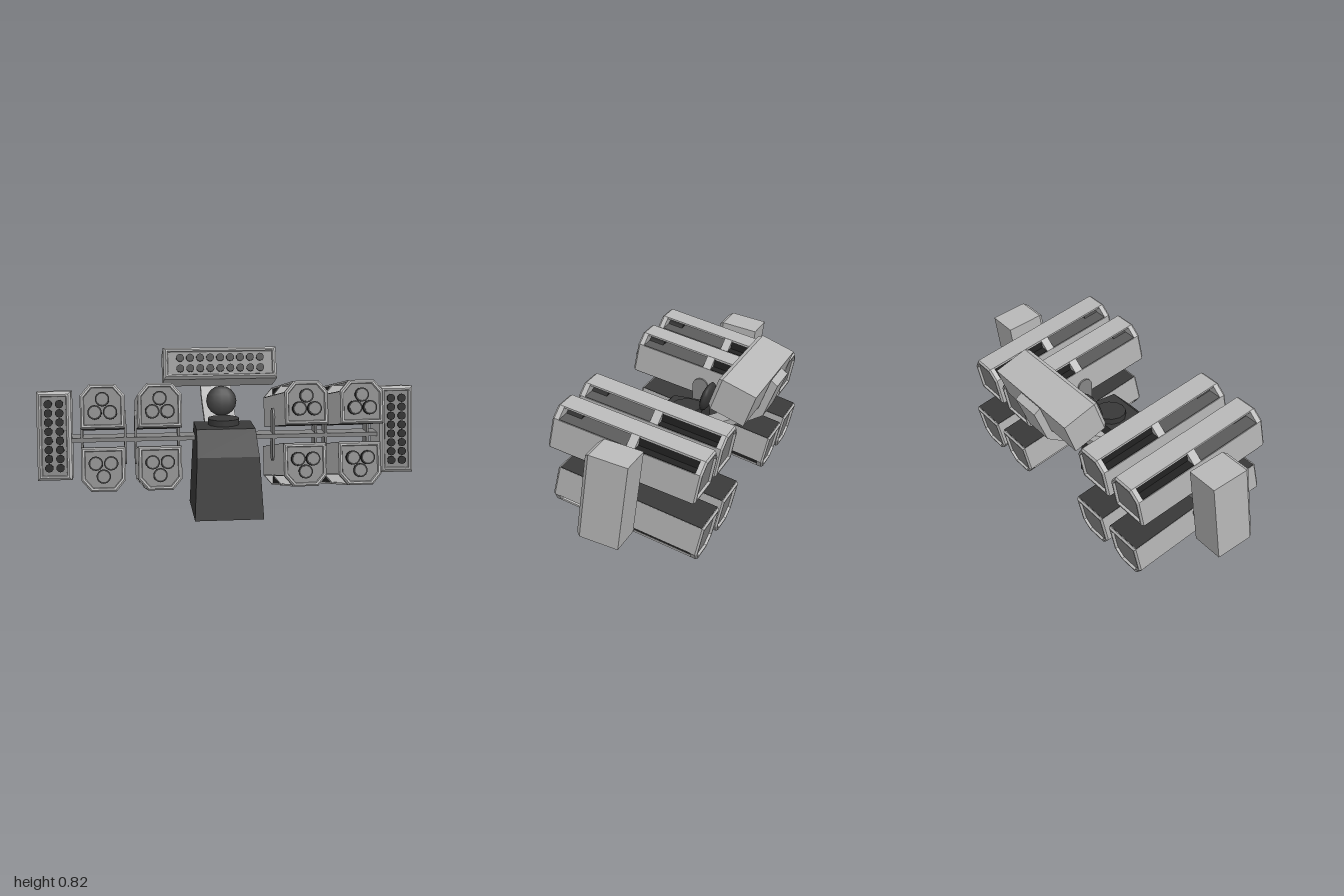
import * as THREE from 'three';

const mat = (name, color) => Object.assign(new THREE.MeshStandardMaterial({ color }), { name });

// Skin a row of matching outlines (counter-clockwise, back to front) and cap both ends
function loft(sections) {
  const pos = [];
  const n = sections[0].pts.length;
  const add = (s, i) => pos.push(s.pts[i % n][0], s.pts[i % n][1], s.z);
  for (let k = 0; k < sections.length - 1; k++) {
    const a = sections[k], b = sections[k + 1];
    for (let i = 0; i < n; i++) {
      add(a, i); add(a, i + 1); add(b, i + 1);
      add(a, i); add(b, i + 1); add(b, i);
    }
  }
  const back = sections[0], front = sections[sections.length - 1];
  for (let i = 1; i < n - 1; i++) {
    add(back, 0); add(back, i + 1); add(back, i);
    add(front, 0); add(front, i); add(front, i + 1);
  }
  const g = new THREE.BufferGeometry();
  g.setAttribute('position', new THREE.Float32BufferAttribute(pos, 3));
  g.computeVertexNormals();
  return g;
}

// Extrude a (z, y) side profile across x, centred on x = 0
function sideExtrude(shape, width) {
  const g = new THREE.ExtrudeGeometry(shape, { depth: width, bevelEnabled: false, curveSegments: 8 });
  g.translate(0, 0, -width / 2);
  g.rotateY(-Math.PI / 2);
  return g;
}
const polygon = (pts) => new THREE.Shape(pts.map(([a, b]) => new THREE.Vector2(a, b)));

export function createModel() {
  const root = new THREE.Group();
  root.name = 'launcherRig';
  const hull = mat('hull grey', 0xb8b8b8);
  const panel = mat('panel grey', 0x858585);
  const floorGrey = mat('recess grey', 0x5a5a5a);
  const dark = mat('base charcoal', 0x383838);
  const black = mat('tube black', 0x222222);

  const mesh = (parent, name, geo, material, x = 0, y = 0, z = 0) => {
    const m = new THREE.Mesh(geo, material);
    m.name = name;
    m.position.set(x, y, z);
    parent.add(m);
    return m;
  };
  const box = (w, h, d) => new THREE.BoxGeometry(w, h, d);

  // Pedestal, narrowing towards the top
  const baseGeo = sideExtrude(polygon([[0.37, 0], [0.31, 0.32], [0.19, 0.445], [-0.025, 0.445], [-0.025, 0]]), 0.36);
  const p = baseGeo.attributes.position;
  for (let i = 0; i < p.count; i++) p.setX(i, p.getX(i) * (1 - 0.3 * p.getY(i)));
  baseGeo.computeVertexNormals();
  mesh(root, 'pedestal', baseGeo, dark, -0.01);

  // Flat turntable on the pedestal and upright dish behind it
  mesh(root, 'turntable', new THREE.CylinderGeometry(0.085, 0.085, 0.035, 12), dark, -0.01, 0.46, 0.05);
  const dish = mesh(root, 'dish', new THREE.SphereGeometry(0.083, 12, 8), dark, -0.01, 0.55, -0.07);
  dish.scale.z = 0.35;
  dish.rotation.x = -0.3;

  // Bent arm carrying the rear box
  mesh(root, 'rearArm', sideExtrude(polygon([
    [-0.02, 0.26], [-0.06, 0.26], [-0.065, 0.365], [-0.13, 0.40], [-0.33, 0.49], [-0.41, 0.535],
    [-0.485, 0.715], [-0.45, 0.742], [-0.385, 0.575], [-0.34, 0.53], [-0.12, 0.43], [-0.025, 0.385],
  ]), 0.175), hull, -0.01);

  // Cross bar
  mesh(root, 'crossBar', box(1.66, 0.022, 0.1), panel, 0, 0.385, 0.067);

  // Box with a chamfered, recessed front holding a grid of small tubes
  function tubeBox(name, w, h, d, cols, rows, sx, sy) {
    const g = new THREE.Group();
    g.name = name;
    const rect = (inset, z) => {
      const a = w / 2 - inset, b = h / 2 - inset;
      return { pts: [[-a, -b], [a, -b], [a, b], [-a, b]], z };
    };
    const f = d / 2;
    mesh(g, name + 'Body', loft([rect(0, -f), rect(0, f - 0.02), rect(0.014, f), rect(0.022, f), rect(0.026, f - 0.012)]), hull);
    mesh(g, name + 'Panel', box(w - 0.053, h - 0.053, 0.004), panel, 0, 0, f - 0.012);
    const tube = new THREE.CylinderGeometry(0.022, 0.022, 0.012, 10).rotateX(Math.PI / 2);
    for (let i = 0; i < cols; i++) for (let j = 0; j < rows; j++) {
      mesh(g, 'smallTube', tube, black, (i - (cols - 1) / 2) * sx, (j - (rows - 1) / 2) * sy, f - 0.007);
    }
    root.add(g);
    return g;
  }
  const rear = tubeBox('rearBox', 0.635, 0.18, 0.21, 9, 2, 0.056, 0.06);
  rear.position.set(0, 0.702, -0.32);
  rear.rotation.x = -0.367;
  for (const s of [-1, 1]) {
    const b = tubeBox(s > 0 ? 'leftBox' : 'rightBox', 0.178, 0.462, 0.225, 2, 8, 0.058, 0.0475);
    b.position.set(s * 0.906, 0.41, 0.08);
    b.rotation.x = -0.147;
  }

  // Pod pieces: chamfered outline, hollow end caps, open sides below a narrow roof
  const outline = [[-0.11, -0.11], [0.11, -0.11], [0.11, 0.055], [0.063, 0.11], [-0.063, 0.11], [-0.11, 0.055]];
  const ring = (k, z) => ({ pts: outline.map(([x, y]) => [x * k, y * k]), z });
  const capGeo = loft([ring(1, 0.365), ring(1, 0.39), ring(0.93, 0.4), ring(0.85, 0.4), ring(0.82, 0.385)]);
  const capPanelGeo = loft([ring(0.82, 0.383), ring(0.82, 0.387)]);
  const rearCapGeo = capGeo.clone().rotateY(Math.PI);
  const rearPanelGeo = capPanelGeo.clone().rotateY(Math.PI);
  const ribGeo = loft([ring(0.995, -0.045), ring(0.995, 0)]);
  const tubeGeo = new THREE.CylinderGeometry(0.036, 0.036, 0.12, 14).rotateX(Math.PI / 2);
  const coreGeo = new THREE.CylinderGeometry(0.028, 0.028, 0.006, 14).rotateX(Math.PI / 2);

  function pod(x, y, tilt, inverted) {
    const g = new THREE.Group();
    g.name = inverted ? 'lowerPod' : 'upperPod';
    g.position.set(x, y, 0.066);
    g.rotation.x = -tilt;
    const inner = new THREE.Group();
    inner.name = 'podShell';
    if (inverted) inner.rotation.z = Math.PI;
    g.add(inner);
    mesh(inner, 'podBody', box(0.22, 0.163, 0.74), hull, 0, -0.0285, 0);
    mesh(inner, 'flatSidePlate', box(0.218, 0.004, 0.775), dark, 0, -0.1105, 0);
    mesh(inner, 'podRoof', box(0.126, 0.01, 0.74), hull, 0, 0.105, 0);
    mesh(inner, 'frontCap', capGeo, hull);
    mesh(inner, 'frontPanel', capPanelGeo, panel);
    mesh(inner, 'rearCap', rearCapGeo, hull);
    mesh(inner, 'rearPanel', rearPanelGeo, panel);
    mesh(inner, 'middleRib', ribGeo, hull);
    mesh(inner, 'rearCore', box(0.12, 0.047, 0.325), black, 0, 0.0765, -0.205);
    mesh(inner, 'rearRecessFloor', box(0.212, 0.004, 0.325), black, 0, 0.054, -0.205);
    mesh(inner, 'frontRecessFloor', box(0.212, 0.004, 0.365), floorGrey, 0, 0.054, 0.183);
    // The paired tubes stand slightly proud of the single one
    for (const [tx, ty, tz] of [[0, 0.035, 0.34], [-0.038, -0.03, 0.352], [0.038, -0.03, 0.352]]) {
      mesh(inner, 'launchTube', tubeGeo, black, tx, ty, tz);
      mesh(inner, 'tubeCore', coreGeo, panel, tx, ty, tz + 0.058);
    }
    root.add(g);
  }

  // Rounded plate joining an upper and a lower pod
  const plate = new THREE.Shape();
  plate.absarc(0, 0.1, 0.045, 0, Math.PI, false);
  plate.absarc(0, -0.1, 0.045, Math.PI, Math.PI * 2, false);
  const plateGeo = sideExtrude(plate, 0.012);

  for (const x of [-0.652, -0.369, 0.369, 0.652]) {
    pod(x, 0.5455, 0.213, false);
    pod(x, 0.212, 0.243, true);
    for (const s of [-1, 1]) mesh(root, 'mountPlate', plateGeo, panel, x + s * 0.114, 0.385, 0.067);
  }
  return root;
}
